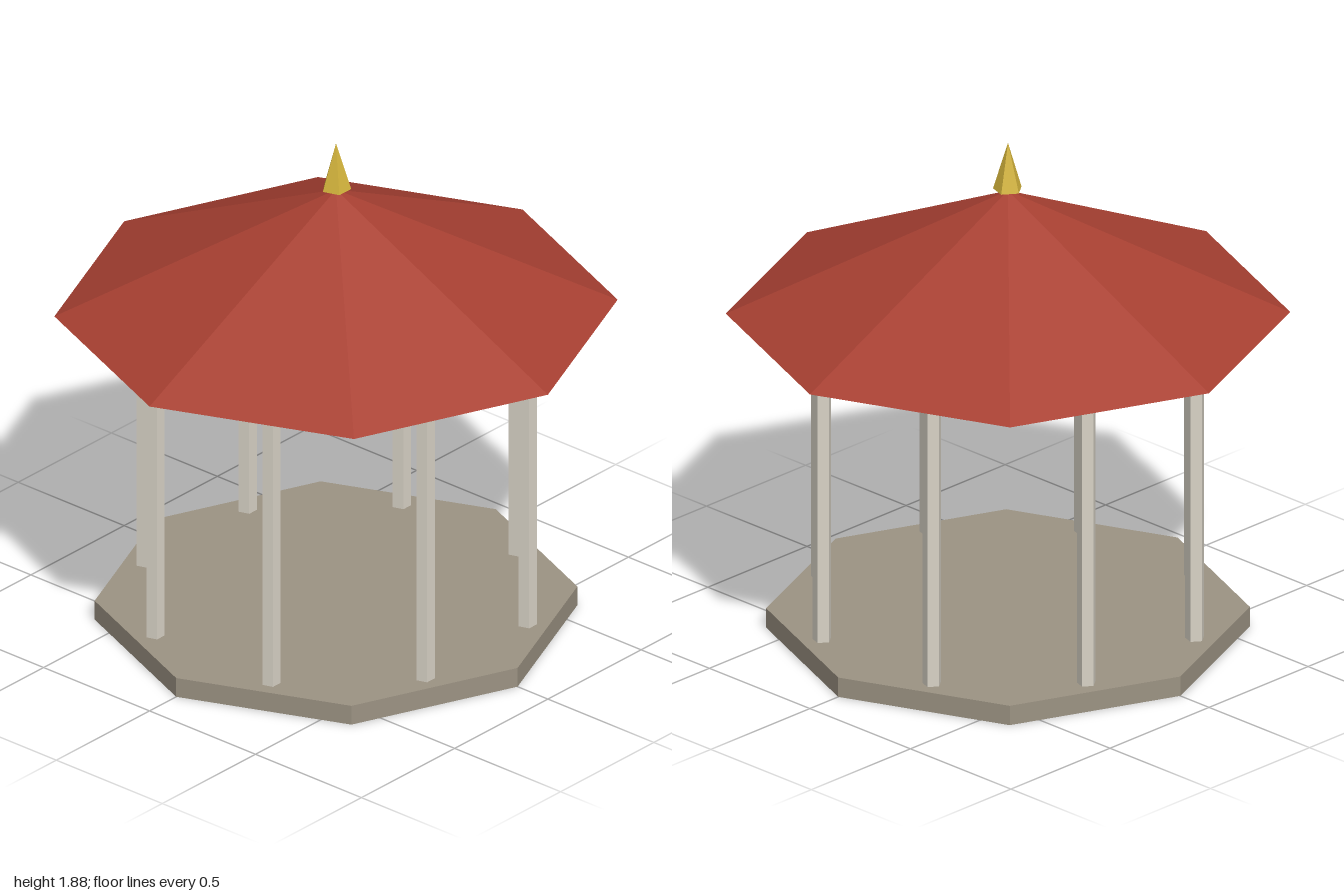
import * as THREE from 'three';

const flat = (name, color) => {
  const m = new THREE.MeshStandardMaterial({ color, flatShading: true });
  m.name = name;
  return m;
};

export function createModel() {
  const pavilion = new THREE.Group();
  pavilion.name = 'pavilion';

  const stone = flat('stone', 0x9c9383);
  const plaster = flat('plaster', 0xd8d2c6);
  const tile = flat('roofTile', 0xa84032);
  const gold = flat('gold', 0xd4b43c);

  // Upright faceted solid between two heights
  const add = (name, material, rTop, rBottom, y0, y1, sides) => {
    const geometry = new THREE.CylinderGeometry(rTop, rBottom, y1 - y0, sides);
    const mesh = new THREE.Mesh(geometry, material);
    mesh.name = name;
    mesh.position.y = (y0 + y1) / 2;
    pavilion.add(mesh);
    return mesh;
  };

  // Octagonal floor, ceiling slab and roof, with corners on the axes
  add('floor', stone, 0.857, 0.857, 0, 0.075, 8);
  add('ceilingSlab', plaster, 0.81, 0.81, 1.175, 1.212, 8);
  add('roof', tile, 0, 1, 1.218, 1.692, 8);

  // Eight five-sided posts, all turned the same way
  for (let i = 0; i < 8; i++) {
    const angle = ((i + 0.5) * Math.PI) / 4;
    const post = add('post' + (i + 1), plaster, 0.035, 0.035, 0.075, 1.218, 5);
    post.position.x = 0.715 * Math.sin(angle);
    post.position.z = 0.715 * Math.cos(angle);
    post.rotation.y = Math.PI;
  }

  // Five-sided spike above the roof peak
  add('finial', gold, 0, 0.054, 1.697, 1.877, 5).rotation.y = Math.PI;

  return pavilion;
}
